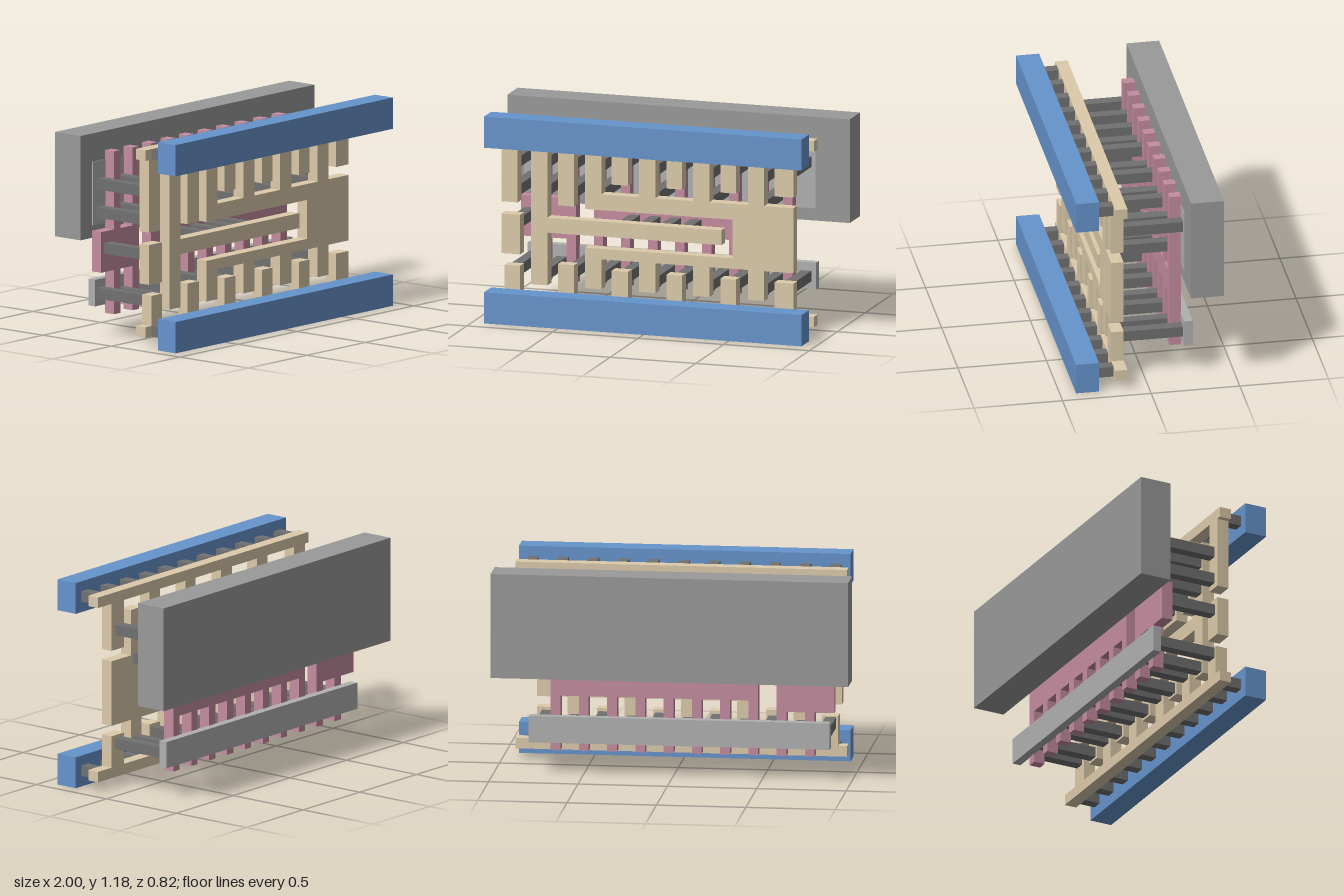
import * as THREE from 'three';

const material = (color) => new THREE.MeshStandardMaterial({ color, flatShading: true });

export function createModel() {
  const model = new THREE.Group();
  const blue = material(0x6694cc), tan = material(0xdccaaa), pink = material(0xc48c9f);
  const dark = material(0x707070), wellGrey = material(0x999999), paleGrey = material(0xb0b0b0);

  // Box given by its limits on each axis
  function box(name, mat, x0, x1, y0, y1, z0, z1) {
    const mesh = new THREE.Mesh(new THREE.BoxGeometry(x1 - x0, y1 - y0, z1 - z0), mat);
    mesh.position.set((x0 + x1) / 2, (y0 + y1) / 2, (z0 + z1) / 2);
    mesh.name = name;
    model.add(mesh);
  }

  // Flat plate with a polygon outline, extruded from z0 to z1
  function plate(name, mat, outline, z0, z1) {
    const points = outline
      .filter((p, i) => i === 0 || p[0] !== outline[i - 1][0] || p[1] !== outline[i - 1][1])
      .map(([x, y]) => new THREE.Vector2(x, y));
    const geometry = new THREE.ExtrudeGeometry(new THREE.Shape(points), { depth: z1 - z0, bevelEnabled: false });
    geometry.translate(0, 0, z0);
    const mesh = new THREE.Mesh(geometry, mat);
    mesh.name = name;
    model.add(mesh);
  }

  // Edge running left to right at height y, with teeth [x0, x1, tip]
  const toothedEdge = (x0, x1, y, teeth) => [
    [x0, y],
    ...teeth.flatMap(([a, b, tip]) => [[a, y], [a, tip], [b, tip], [b, y]]),
    [x1, y],
  ];

  // Diffusion regions and the well behind them
  box('well', wellGrey, -1, 1, 0.57, 1.16, -0.41, -0.225);
  box('upperDiffusion', paleGrey, -0.9, 0.8, 0.64, 1.0, -0.27, -0.221);
  box('lowerDiffusion', paleGrey, -0.88, 0.805, 0.18, 0.33, -0.27, -0.221);

  // Gate combs: vertical fingers joined by a crossbar
  function gate(name, x0, x1, y0, y1, first, count) {
    const fingers = (tip) => Array.from({ length: count }, (_, i) => {
      const x = -0.79 + (first + i) * 0.158;
      return [x, x + 0.055, tip];
    });
    const bottom = toothedEdge(x0, x1, y0, fingers(0.13));
    const top = toothedEdge(x0, x1, y1, fingers(1.05)).reverse();
    plate(name, pink, [...bottom, ...top], -0.225, -0.16);
  }
  gate('inputGate', -0.9, -0.577, 0.38, 0.61, 0, 2);
  gate('outputGate', -0.474, 0.687, 0.44, 0.57, 2, 8);

  // Wiring layer
  const wireBack = 0.12, wireFront = 0.19;
  const upperTeeth = [
    [-0.9, -0.805, 0.65], [-0.57, -0.475, 0.65], [-0.255, -0.16, 0.79],
    [0.065, 0.155, 0.79], [0.38, 0.47, 0.79], [0.695, 0.805, 0.79],
  ];
  const lowerTeeth = [
    [-0.88, -0.79, 0.29], [-0.57, -0.475, 0.315], [-0.255, -0.16, 0.3],
    [0.065, 0.155, 0.3], [0.38, 0.47, 0.3], [0.695, 0.805, 0.3],
  ];
  plate('upperSupplyComb', tan,
    [...toothedEdge(-0.93, 0.925, 1.06, upperTeeth), [0.925, 1.12], [-0.93, 1.12]], wireBack, wireFront);
  plate('lowerSupplyComb', tan,
    [...toothedEdge(-0.93, 0.925, 0.12, lowerTeeth), [0.925, 0.06], [-0.93, 0.06]], wireBack, wireFront);

  const outputColumns = [[-0.41, -0.315], [-0.095, 0], [0.22, 0.315], [0.54, 0.635]];
  plate('outputWire', tan, [
    ...toothedEdge(-0.41, 0.805, 0.36, outputColumns.map((c) => [...c, 0.19])),
    ...toothedEdge(-0.41, 0.805, 0.73, outputColumns.map((c) => [...c, 0.99])).reverse(),
    [-0.41, 0.64], [0.45, 0.64], [0.45, 0.42], [-0.41, 0.42],
  ], wireBack, wireFront);
  plate('middleWire', tan, [
    [-0.725, 0.19], [-0.63, 0.19], [-0.63, 0.49], [0.385, 0.49],
    [0.385, 0.575], [-0.63, 0.575], [-0.63, 0.99], [-0.725, 0.99],
  ], wireBack, wireFront);
  box('inputPad', tan, -0.9, -0.79, 0.355, 0.58, wireBack, wireFront);

  // Square contact posts
  const post = (name, x, y, z0, z1) =>
    box(name, dark, x - 0.03, x + 0.03, y - 0.03, y + 0.03, z0, z1);

  // Contacts from the wires to the diffusion regions
  for (let i = 0; i < 11; i++) {
    const x = -0.838 + i * 0.1585;
    const supply = i % 2 === 0;
    const upper = supply && i > 2 ? [0.905] : [0.87, 0.71];
    upper.forEach((y) => post('upperContact', x, y, -0.221, wireBack));
    post('lowerContact', x, supply ? 0.253 : 0.233, -0.221, wireBack);
  }

  // Contacts from the wires to the gates
  for (const x of [-0.845, -0.235, -0.115, 0.005, 0.125]) post('gateContact', x, 0.515, -0.16, wireBack);

  // Power rails and the posts that carry them
  for (const [name, y] of [['lowerRail', 0], ['upperRail', 1]]) {
    box(name, blue, -0.93, 0.925, y, y + 0.177, 0.28, 0.41);
    for (let i = 0; i < 11; i++) post(name + 'Post', -0.85 + i * 0.1695, y + 0.09, wireFront, 0.28);
  }

  return model;
}
